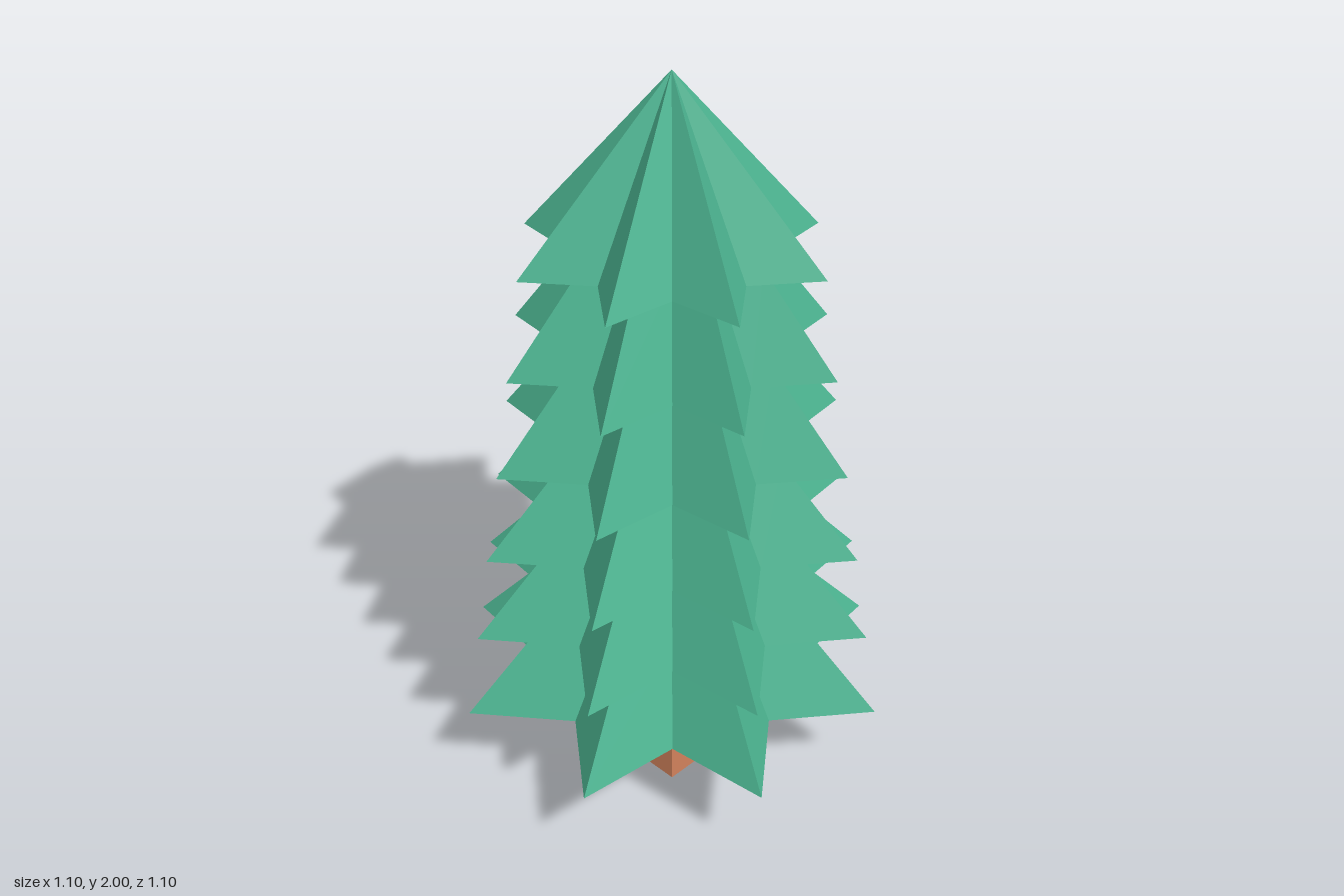
import * as THREE from 'three';

const POINTS = 8;
const INNER = 0.62; // valley radius relative to the tip radius

// Star-shaped frustum: a 16-sided cylinder with every other side edge pulled inward
function starTier(topRadius, bottomRadius, y0, y1) {
  const geo = new THREE.CylinderGeometry(topRadius, bottomRadius, y1 - y0, POINTS * 2);
  const pos = geo.attributes.position;
  for (let i = 0; i < pos.count; i++) {
    const x = pos.getX(i), z = pos.getZ(i);
    const step = Math.round(Math.atan2(x, z) / (Math.PI / POINTS));
    if (step % 2 === 0) {
      pos.setX(i, x * INNER);
      pos.setZ(i, z * INNER);
    }
  }
  const flat = geo.toNonIndexed();
  flat.translate(0, (y0 + y1) / 2, 0);
  flat.computeVertexNormals();
  return flat;
}

export function createModel() {
  const tree = new THREE.Group();
  tree.name = 'pineTree';
  const green = new THREE.MeshStandardMaterial({ color: 0x4bb28f, flatShading: true });
  const brown = new THREE.MeshStandardMaterial({ color: 0xcd7f5a, flatShading: true });

  // Square trunk, slightly narrower at the top
  const trunkGeo = new THREE.CylinderGeometry(0.14 * Math.SQRT2, 0.153 * Math.SQRT2, 0.254, 4);
  trunkGeo.rotateY(Math.PI / 4);
  trunkGeo.translate(0, 0.127, 0);
  const trunk = new THREE.Mesh(trunkGeo, brown);
  trunk.name = 'trunk';
  tree.add(trunk);

  // Foliage tiers: base height, tip radius at base, tip radius at top
  const tiers = [
    [0.252, 0.594, 0.366],
    [0.5, 0.555, 0.336],
    [0.745, 0.516, 0.3],
    [0.993, 0.476, 0.27],
    [1.265, 0.435, 0.236],
    [1.535, 0.396, 0],
  ];
  tiers.forEach(([y, bottom, top], i) => {
    const yTop = i + 1 < tiers.length ? tiers[i + 1][0] : 2;
    const tier = new THREE.Mesh(starTier(top, bottom, y, yTop), green);
    tier.name = `foliageTier${i + 1}`;
    tree.add(tier);
  });

  return tree;
}
